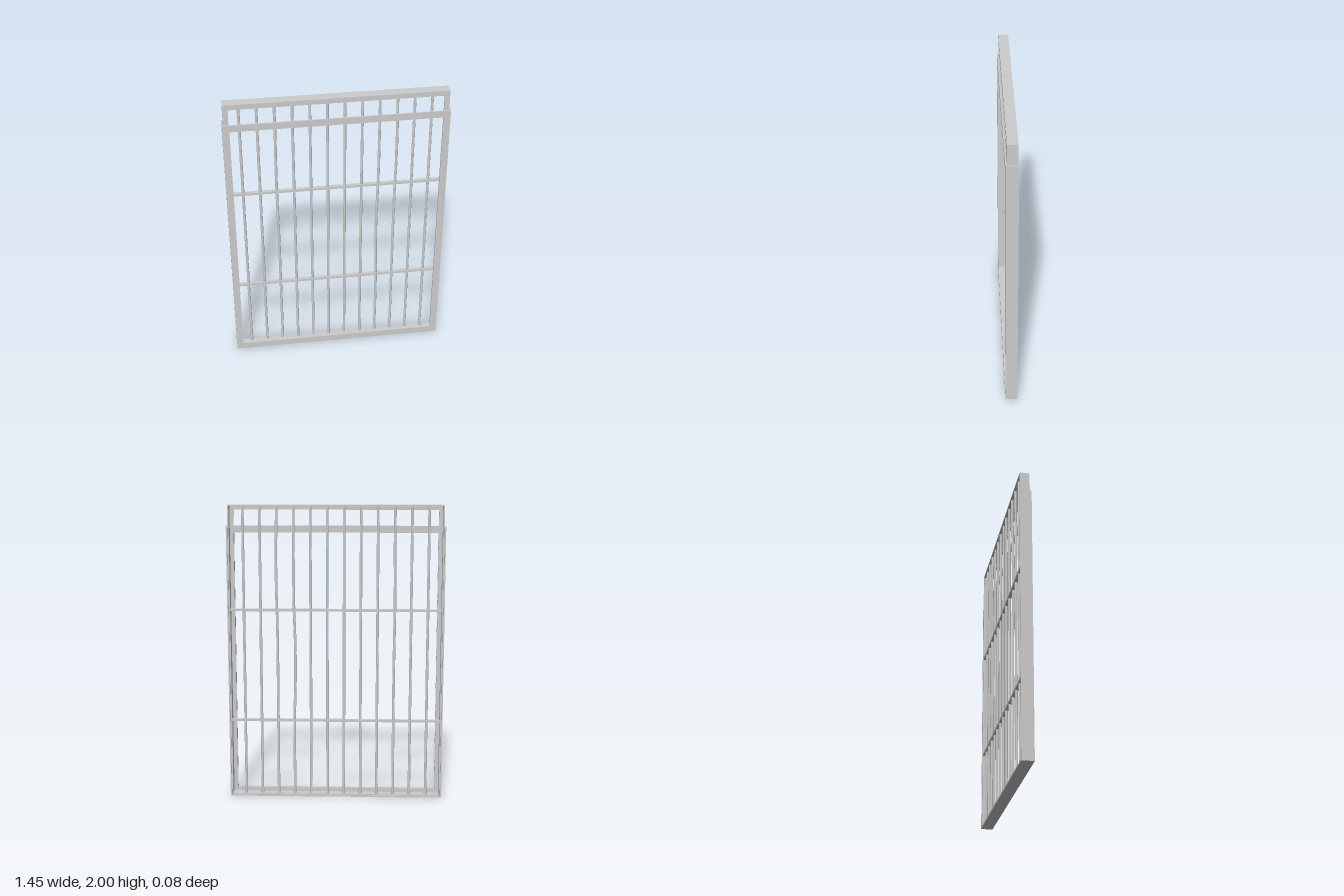
import * as THREE from 'three';

const material = new THREE.MeshStandardMaterial({ color: 0xcccccc, flatShading: true });

function add(parent, name, geometry, x = 0, y = 0, z = 0) {
  const mesh = new THREE.Mesh(geometry, material);
  mesh.name = name;
  mesh.position.set(x, y, z);
  parent.add(mesh);
  return mesh;
}

// Flat rectangular ring lying in the xy plane, extruded from z0 to z1
function ring(halfW, y0, y1, border, z0, z1) {
  const rect = (T, w, a, b) => {
    const path = new T();
    path.moveTo(-w, a);
    path.lineTo(w, a);
    path.lineTo(w, b);
    path.lineTo(-w, b);
    path.closePath();
    return path;
  };
  const shape = rect(THREE.Shape, halfW, y0, y1);
  shape.holes.push(rect(THREE.Path, halfW - border, y0 + border, y1 - border));
  const g = new THREE.ExtrudeGeometry(shape, { depth: z1 - z0, bevelEnabled: false });
  return g.translate(0, 0, z0);
}

// Angle-section frame: front flange plus thin walls running to the back
function angleFrame(name, { halfW, y0, y1, border, back, front, wall, closedTop }) {
  const frame = new THREE.Group();
  frame.name = name;
  const plate = 0.01;
  add(frame, 'frontFlange', ring(halfW, y0, y1, border, front - plate, front));
  const depth = front - plate - back;
  const z = back + depth / 2;
  for (const side of [-1, 1]) {
    add(frame, side > 0 ? 'leftWall' : 'rightWall',
      new THREE.BoxGeometry(wall, y1 - y0, depth), side * (halfW - wall / 2), (y0 + y1) / 2, z);
  }
  const crossWall = () => new THREE.BoxGeometry(2 * (halfW - wall), wall, depth);
  add(frame, 'bottomWall', crossWall(), 0, y0 + wall / 2, z);
  if (closedTop) add(frame, 'topWall', crossWall(), 0, y1 - wall / 2, z);
  return frame;
}

export function createModel() {
  const model = new THREE.Group();
  model.name = 'barredGate';

  // Outer frame, open at the top
  model.add(angleFrame('outerFrame', {
    halfW: 0.727, y0: 0, y1: 1.86, border: 0.046, back: -0.04, front: 0.04, wall: 0.009, closedTop: false,
  }));

  // Inner frame, raised out of the outer one
  const panel = new THREE.Group();
  panel.name = 'slidingPanel';
  model.add(panel);
  panel.add(angleFrame('innerFrame', {
    halfW: 0.717, y0: 0.01, y1: 2, border: 0.034, back: -0.037, front: 0.03, wall: 0.009, closedTop: true,
  }));

  // Horizontal rails
  const barZ = -0.024;
  for (const y of [0.54, 1.3]) {
    add(panel, 'crossRail', new THREE.BoxGeometry(1.416, 0.016, 0.024), 0, y, barZ);
  }

  // Vertical bars, a few slightly bent: index -> [height, dx, dz] of the bend
  const bends = {
    2: [1.35, -0.003, 0.003],
    8: [0.95, -0.007, 0.004],
    9: [1.58, 0.005, -0.003],
  };
  const bottom = 0.015, top = 1.993, radius = 0.009;
  for (let i = 0; i < 12; i++) {
    const x = (i - 5.5) * 0.1122;
    const bend = bends[i];
    if (!bend) {
      add(panel, 'bar', new THREE.CylinderGeometry(radius, radius, top - bottom, 8),
        x, (bottom + top) / 2, barZ);
      continue;
    }
    const [y, dx, dz] = bend;
    const curve = new THREE.CatmullRomCurve3([
      new THREE.Vector3(0, bottom, 0),
      new THREE.Vector3(0, y - 0.4, 0),
      new THREE.Vector3(dx, y - 0.12, dz),
      new THREE.Vector3(dx, y + 0.12, dz),
      new THREE.Vector3(0, Math.min(y + 0.38, 1.97), 0),
      new THREE.Vector3(0, top, 0),
    ]);
    add(panel, 'bentBar', new THREE.TubeGeometry(curve, 24, radius, 8), x, 0, barZ);
  }

  return model;
}
